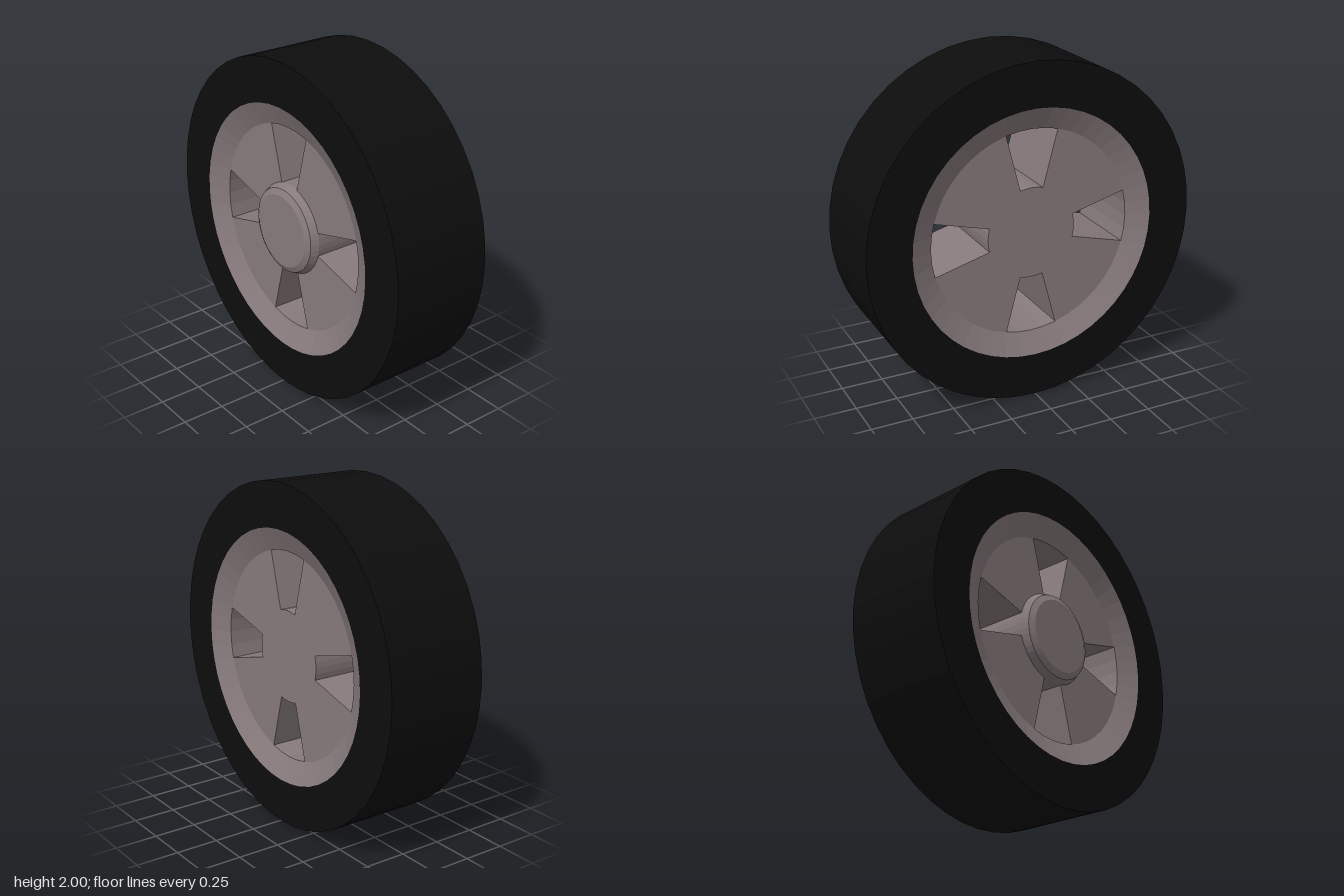
import * as THREE from 'three';

const SIDES = 48;
const HALF_WIDTH = 0.305;  // tyre sidewalls
const DISC_FACE = 0.245;   // recessed spoke disc
const TYRE_R = 1, RIM_R = 0.74, DISC_R = 0.61, HUB_R = 0.27;

// Revolve [radius, x] points around the x axis
function revolve(points) {
  const profile = points.map(([r, x]) => new THREE.Vector2(r, x));
  return new THREE.LatheGeometry(profile, SIDES).rotateZ(-Math.PI / 2);
}

// Disc outline with four 30 degree windows cut in from its edge
function spokeShape() {
  const points = [];
  const step = (Math.PI * 2) / SIDES;
  const arc = (radius, from, to) => {
    for (let i = from; i <= to; i++) {
      points.push(new THREE.Vector2(radius * Math.cos(i * step), radius * Math.sin(i * step)));
    }
  };
  const quarter = SIDES / 4;
  for (let k = 0; k < 4; k++) {
    const c = k * quarter;
    arc(HUB_R, c - 2, c + 2);
    arc(DISC_R, c + 2, c + quarter - 2);
  }
  return new THREE.Shape(points);
}

export function createModel() {
  const wheel = new THREE.Group();
  wheel.name = 'wheel';
  const rubber = new THREE.MeshStandardMaterial({ color: 0x0d0d0d, flatShading: true });
  const metal = new THREE.MeshStandardMaterial({ color: 0x877a7c, flatShading: true });

  const add = (name, geometry, material) => {
    const mesh = new THREE.Mesh(geometry, material);
    mesh.name = name;
    mesh.position.y = TYRE_R;
    wheel.add(mesh);
  };

  // Square-shouldered tyre
  add('tyre', revolve([
    [RIM_R, -HALF_WIDTH], [TYRE_R, -HALF_WIDTH], [TYRE_R, HALF_WIDTH], [RIM_R, HALF_WIDTH],
  ]), rubber);

  // Bevelled rim lips and the barrel seen through the windows
  add('rim', revolve([
    [RIM_R, HALF_WIDTH], [DISC_R, DISC_FACE], [DISC_R, -DISC_FACE], [RIM_R, -HALF_WIDTH],
  ]), metal);

  // Thick disc with four windows
  const disc = new THREE.ExtrudeGeometry(spokeShape(), { depth: DISC_FACE * 2, bevelEnabled: false });
  disc.translate(0, 0, -DISC_FACE).rotateY(Math.PI / 2);
  add('spokeDisc', disc, metal);

  // Hub cap on one side only
  add('hubCap', revolve([
    [0, -0.305], [0.215, -0.305], [0.25, -0.287], [HUB_R, -DISC_FACE],
  ]), metal);

  return wheel;
}
